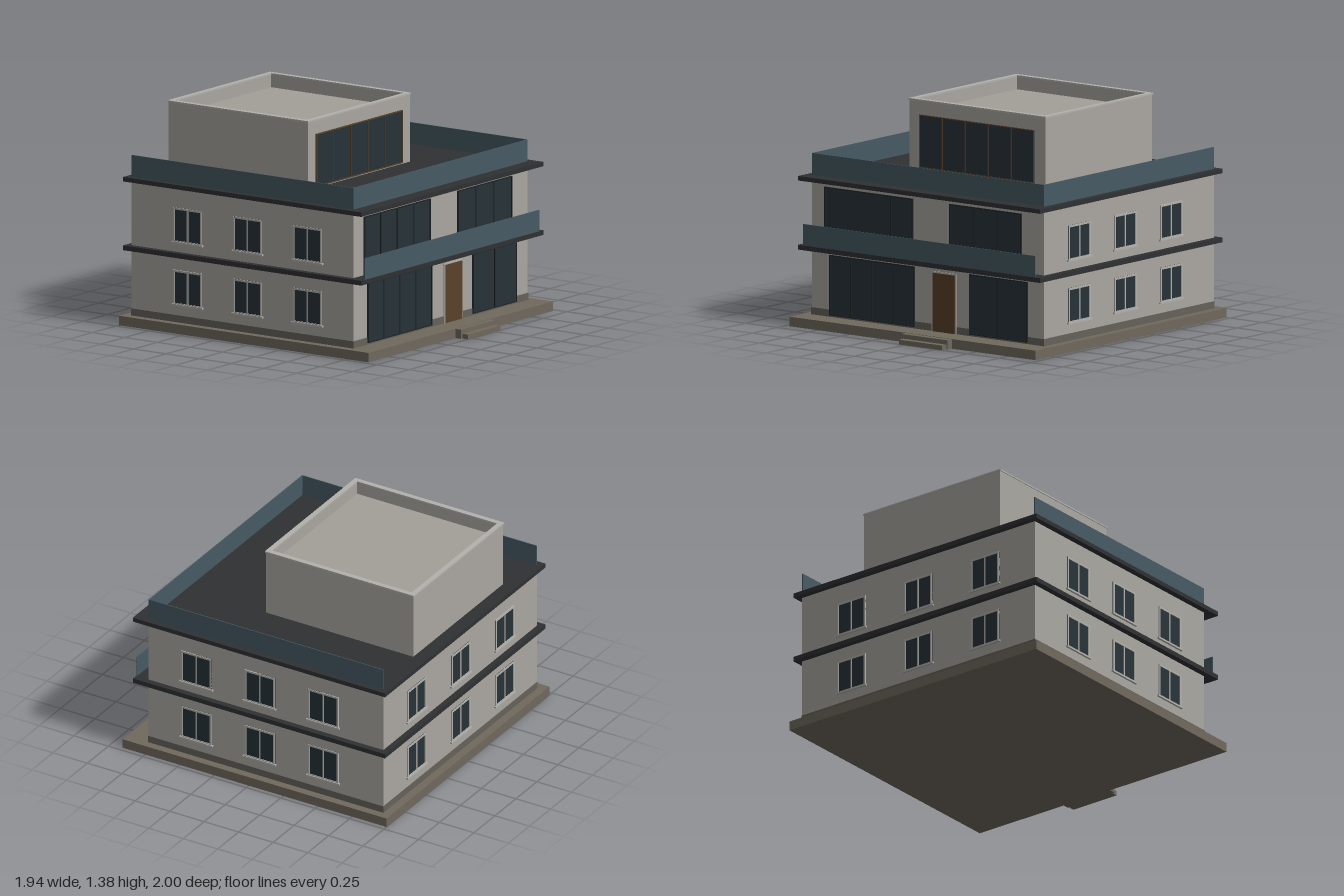
import * as THREE from 'three';

const mat = (color, side = THREE.FrontSide) => new THREE.MeshStandardMaterial({ color, side });
const M = {
  wall: mat(0xaaa7a1), plinth: mat(0x6f685d), band: mat(0x66625b), slab: mat(0x2f3033),
  panel: mat(0x465a63), glass: mat(0x263238), frame: mat(0x1f2427), brown: mat(0x584129),
  trim: mat(0xb2b1ac), roof: mat(0xa3a098),
};

// Box given by its limits on each axis
function box(parent, name, material, [x0, x1], [y0, y1], [z0, z1]) {
  const mesh = new THREE.Mesh(new THREE.BoxGeometry(x1 - x0, y1 - y0, z1 - z0), material);
  mesh.position.set((x0 + x1) / 2, (y0 + y1) / 2, (z0 + z1) / 2);
  mesh.name = name;
  parent.add(mesh);
  return mesh;
}

// Flat rectangular ring extruded along +z, centred on the origin
function ring(w, h, border, depth) {
  const rect = (P, a, b) => {
    const p = new P();
    p.moveTo(-a, -b); p.lineTo(a, -b); p.lineTo(a, b); p.lineTo(-a, b); p.closePath();
    return p;
  };
  const shape = rect(THREE.Shape, w / 2, h / 2);
  shape.holes.push(rect(THREE.Path, w / 2 - border, h / 2 - border));
  return new THREE.ExtrudeGeometry(shape, { depth, bevelEnabled: false });
}

// Large front glazing split into equal panes
function glazing(parent, name, [x0, x1], [y0, y1], z, panes, frameMat) {
  const g = new THREE.Group();
  g.name = name;
  const t = 0.006;
  box(g, 'glass', M.glass, [x0, x1], [y0, y1], [z - 0.01, z + 0.004]);
  const frame = new THREE.Mesh(ring(x1 - x0, y1 - y0, t, 0.015), frameMat);
  frame.position.set((x0 + x1) / 2, (y0 + y1) / 2, z - 0.005);
  frame.name = 'frame';
  g.add(frame);
  for (let i = 1; i < panes; i++) {
    const x = x0 + (x1 - x0) * i / panes;
    box(g, 'mullion', frameMat, [x - t / 2, x + t / 2], [y0, y1], [z, z + 0.009]);
  }
  parent.add(g);
}

// Two-pane window with trim and sill, facing +z before rotation
function smallWindow() {
  const g = new THREE.Group();
  g.name = 'window';
  const w = 0.22, h = 0.22;
  box(g, 'glass', M.glass, [-w / 2, w / 2], [-h / 2, h / 2], [-0.01, 0.003]);
  const frame = new THREE.Mesh(ring(w, h, 0.012, 0.012), M.trim);
  frame.position.z = -0.004;
  frame.name = 'frame';
  g.add(frame);
  box(g, 'mullion', M.trim, [-0.005, 0.005], [-h / 2, h / 2], [-0.004, 0.007]);
  box(g, 'sill', M.trim, [-0.12, 0.12], [-h / 2 - 0.005, -h / 2 + 0.006], [-0.005, 0.014]);
  return g;
}

export function createModel() {
  const model = new THREE.Group();
  model.name = 'building';
  const X = 0.915, ZF = 0.76, ZB = -0.943;

  // Plinth and entrance steps
  box(model, 'plinth', M.plinth, [-0.97, 0.97], [0, 0.06], [-1, 0.915]);
  box(model, 'upperStep', M.plinth, [-0.055, 0.31], [0, 0.058], [0.915, 0.957]);
  box(model, 'lowerStep', M.plinth, [-0.04, 0.3], [0, 0.03], [0.957, 1]);

  // Storeys and projecting floor slabs
  box(model, 'groundFloor', M.wall, [-X, X], [0.06, 0.475], [ZB, ZF]);
  box(model, 'upperFloor', M.wall, [-X, X], [0.505, 0.91], [ZB, ZF]);
  box(model, 'baseBand', M.band, [-X - 0.003, X + 0.003], [0.06, 0.105], [ZB - 0.003, ZF + 0.003]);
  box(model, 'balconySlab', M.slab, [-0.955, 0.955], [0.475, 0.505], [-0.98, 0.85]);
  box(model, 'roofSlab', M.slab, [-0.955, 0.955], [0.91, 0.938], [-0.98, 0.85]);

  // Balcony front and roof parapet, open at the back
  box(model, 'balconyPanel', M.panel, [-X, X], [0.505, 0.64], [0.843, 0.849]);
  box(model, 'frontParapet', M.panel, [-X, X], [0.938, 1.075], [ZF - 0.006, ZF]);
  for (const s of [-1, 1]) {
    const xs = [s * X, s * (X - 0.006)].sort((a, b) => a - b);
    box(model, 'sideParapet', M.panel, xs, [0.938, 1.075], [ZB, ZF - 0.006]);
  }

  // Front glazing
  glazing(model, 'groundGlazingWide', [-0.77, -0.1], [0.07, 0.45], ZF, 4, M.frame);
  glazing(model, 'groundGlazingNarrow', [0.33, 0.79], [0.07, 0.45], ZF, 2, M.frame);
  glazing(model, 'upperGlazingWide', [-0.81, -0.115], [0.505, 0.875], ZF, 4, M.frame);
  glazing(model, 'upperGlazingNarrow', [0.175, 0.74], [0.505, 0.875], ZF, 3, M.frame);

  // Entrance door with trim
  box(model, 'doorTrim', M.trim, [0.033, 0.227], [0.06, 0.438], [ZF - 0.01, ZF + 0.005]);
  box(model, 'door', M.brown, [0.044, 0.216], [0.06, 0.428], [ZF - 0.01, ZF + 0.009]);

  // Windows on both sides and the back, two storeys
  for (const y of [0.28, 0.675]) {
    for (const z of [0.41, -0.05, -0.51]) {
      for (const s of [-1, 1]) {
        const w = smallWindow();
        w.position.set(s * X, y, z);
        w.rotation.y = s * Math.PI / 2;
        model.add(w);
      }
    }
    for (const x of [-0.525, 0, 0.525]) {
      const w = smallWindow();
      w.position.set(x, y, ZB);
      w.rotation.y = Math.PI;
      model.add(w);
    }
  }

  // Penthouse: solid lower part, hollow top and thin coping
  const cx = -0.065, cz = -0.355;
  box(model, 'penthouse', M.wall, [cx - 0.535, cx + 0.535], [0.938, 1.28], [cz - 0.535, cz + 0.535]);
  box(model, 'penthouseRoof', M.roof, [cx - 0.51, cx + 0.51], [1.28, 1.285], [cz - 0.51, cz + 0.51]);
  const rims = [['penthouseParapet', M.wall, 1.07, 0.025, 1.28, 0.085], ['coping', M.trim, 1.08, 0.033, 1.365, 0.01]];
  for (const [name, material, size, border, y, h] of rims) {
    const m = new THREE.Mesh(ring(size, size, border, h), material);
    m.rotation.x = -Math.PI / 2;
    m.position.set(cx, y, cz);
    m.name = name;
    model.add(m);
  }
  glazing(model, 'penthouseGlazing', [-0.52, 0.385], [0.945, 1.28], cz + 0.535, 5, M.brown);

  return model;
}
